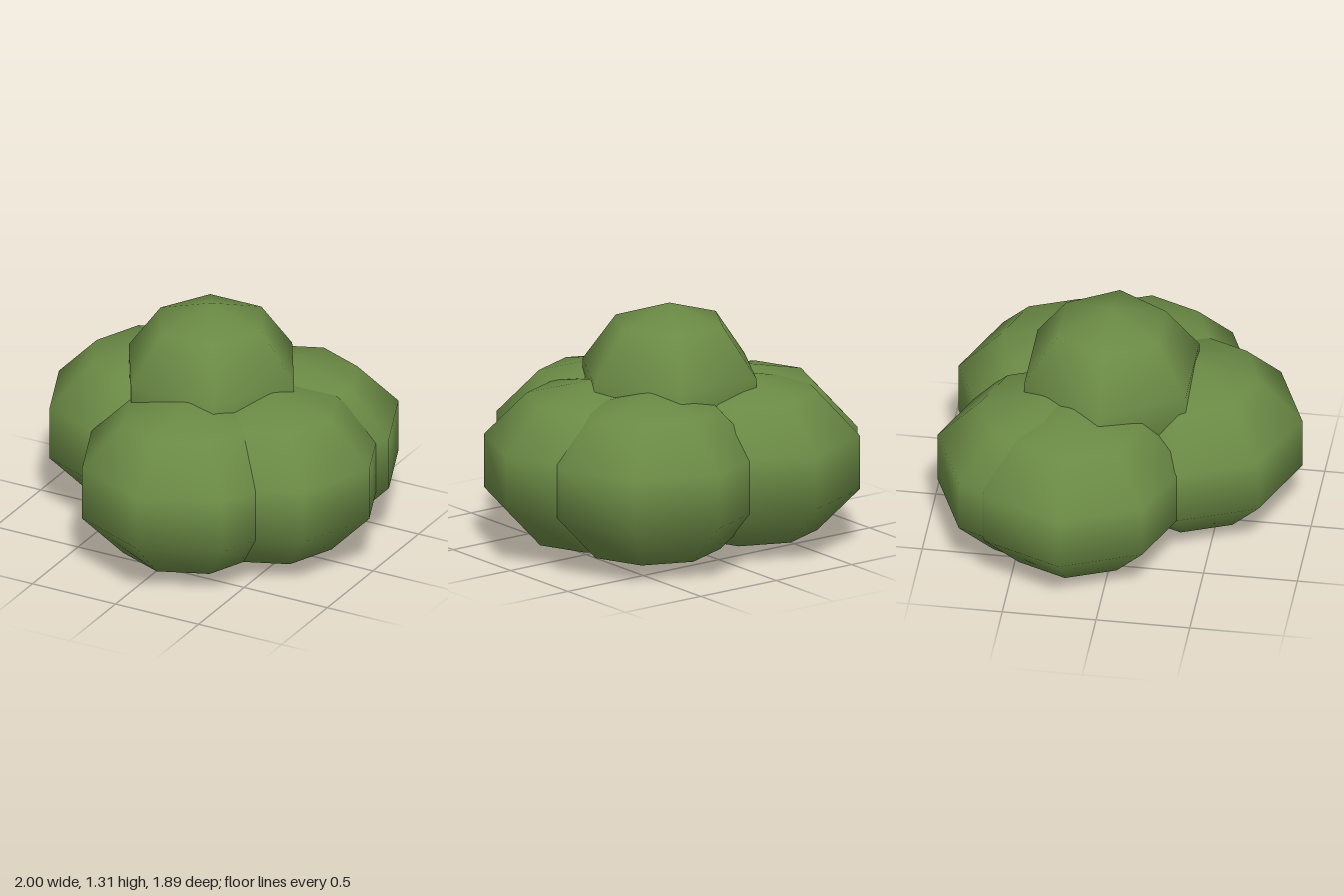
import * as THREE from 'three';

const leafGreen = new THREE.MeshStandardMaterial({ color: 0x6b8a45 });
leafGreen.name = 'leafGreen';

// One rounded, low-poly clump of foliage
function clump(name, radius, sides, squash, x, y, z) {
  const mesh = new THREE.Mesh(new THREE.SphereGeometry(radius, sides, 5), leafGreen);
  mesh.name = name;
  mesh.scale.y = squash;
  mesh.position.set(x, y, z);
  return mesh;
}

export function createModel() {
  const bush = new THREE.Group();
  bush.name = 'bush';

  // Ring of five flattened clumps resting on the ground
  const radius = 0.626, squash = 0.75;
  const ring = [
    ['frontClump', 0.09, 0.345],
    ['leftClump', 0.405, 0.04],
    ['backLeftClump', 0.32, -0.33],
    ['backRightClump', -0.31, -0.35],
    ['rightClump', -0.405, -0.2],
  ];
  for (const [name, x, z] of ring) {
    bush.add(clump(name, radius, 8, squash, x, radius * squash, z));
  }

  // Smaller round clump on top
  bush.add(clump('topClump', 0.523, 6, 1, -0.006, 0.787, -0.062));
  return bush;
}
